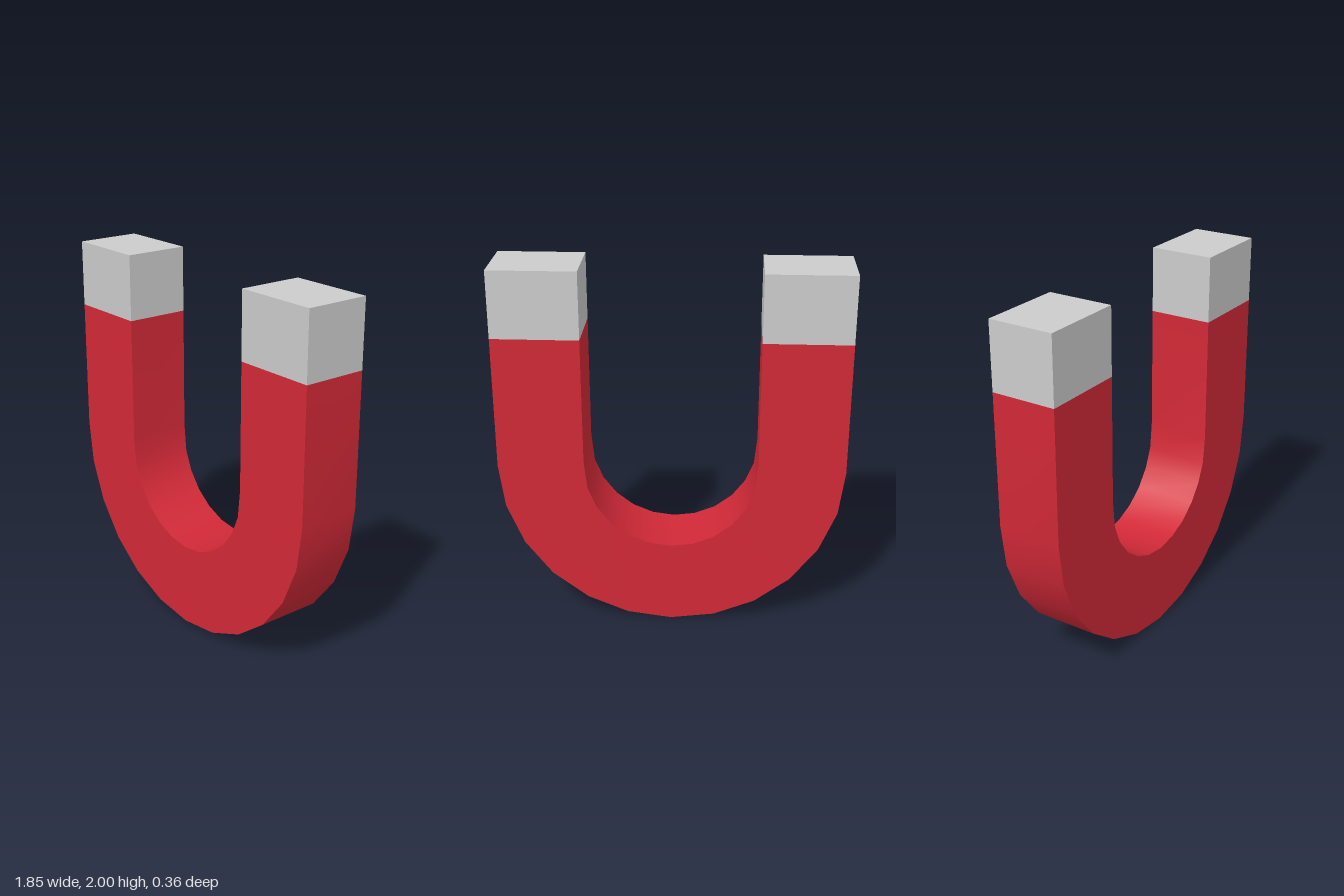
import * as THREE from 'three';
import { toCreasedNormals } from 'three/addons/utils/BufferGeometryUtils.js';

const OUTER = 0.925, INNER = 0.463, DEPTH = 0.356;
const BEND_Y = 0.925, INNER_TOP = 0.96, POLE_Y = 1.64, TOP = 2;
const SEGMENTS = 12;

// Points of a half circle bulging downwards, from -x to +x
function bend(radius, endY) {
  return Array.from({ length: SEGMENTS + 1 }, (_, i) => {
    const a = Math.PI + (i / SEGMENTS) * Math.PI;
    const atEnd = i === 0 || i === SEGMENTS;
    return new THREE.Vector2(radius * Math.cos(a), atEnd ? endY : BEND_Y + radius * Math.sin(a));
  });
}

export function createModel() {
  const model = new THREE.Group();
  model.name = 'horseshoeMagnet';
  const red = new THREE.MeshStandardMaterial({ color: 0xd12937 });
  const grey = new THREE.MeshStandardMaterial({ color: 0xcccccc });

  // U-shaped body: outer bend, right arm top, inner bend back, left arm top
  const outline = new THREE.Shape([
    new THREE.Vector2(-OUTER, POLE_Y),
    ...bend(OUTER, BEND_Y),
    new THREE.Vector2(OUTER, POLE_Y),
    new THREE.Vector2(INNER, POLE_Y),
    ...bend(INNER, INNER_TOP).reverse(),
    new THREE.Vector2(-INNER, POLE_Y),
  ]);
  const bodyGeometry = new THREE.ExtrudeGeometry(outline, { depth: DEPTH, bevelEnabled: false });
  bodyGeometry.translate(0, 0, -DEPTH / 2);
  const body = new THREE.Mesh(toCreasedNormals(bodyGeometry, Math.PI / 5), red);
  body.name = 'body';
  model.add(body);

  // Bare pole tips on both arms
  for (const [name, side] of [['leftPole', 1], ['rightPole', -1]]) {
    const pole = new THREE.Mesh(new THREE.BoxGeometry(OUTER - INNER, TOP - POLE_Y, DEPTH), grey);
    pole.name = name;
    pole.position.set((side * (OUTER + INNER)) / 2, (TOP + POLE_Y) / 2, 0);
    model.add(pole);
  }
  return model;
}
